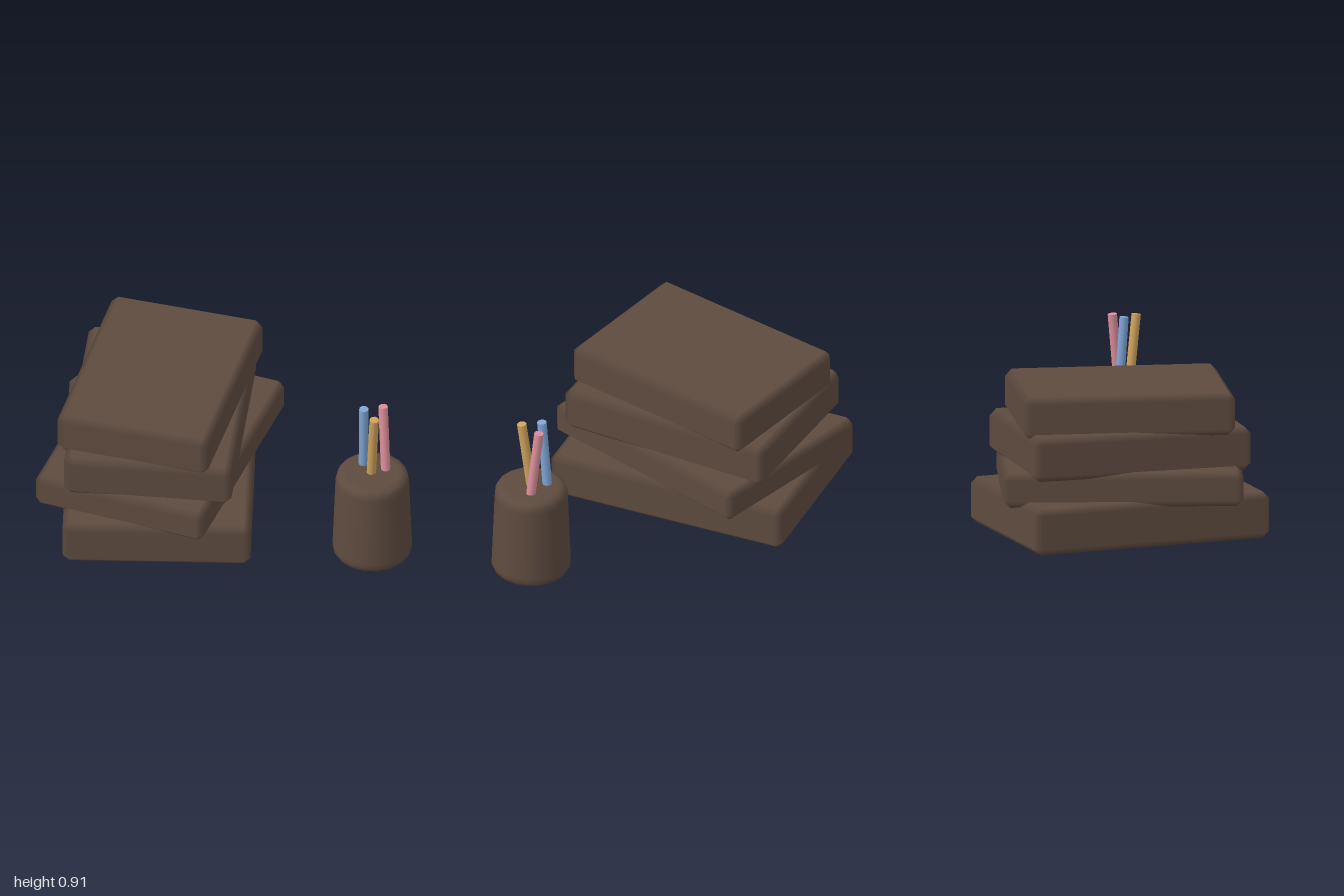
import * as THREE from 'three';
import { ConvexGeometry } from 'three/addons/geometries/ConvexGeometry.js';

// Box with single-step chamfers; each vertex keeps its face's normal so edges shade softly
function chamferBox(w, h, d, c) {
  const half = [w / 2, h / 2, d / 2];
  const points = [];
  for (let axis = 0; axis < 3; axis++)
    for (const sx of [-1, 1]) for (const sy of [-1, 1]) for (const sz of [-1, 1]) {
      const p = [sx, sy, sz].map((s, i) => s * (half[i] - (i === axis ? 0 : c)));
      points.push(new THREE.Vector3(...p));
    }
  const geo = new ConvexGeometry(points);
  const pos = geo.attributes.position, nor = geo.attributes.normal;
  for (let i = 0; i < pos.count; i++) {
    const p = [pos.getX(i), pos.getY(i), pos.getZ(i)];
    const n = p.map((v, a) => (Math.abs(v) > half[a] - c / 2 ? Math.sign(v) : 0));
    nor.setXYZ(i, ...n);
  }
  return geo;
}

export function createModel() {
  const model = new THREE.Group();
  const mat = (name, color) => {
    const m = new THREE.MeshStandardMaterial({ color });
    m.name = name;
    return m;
  };
  const brown = mat('dark brown', 0x5e4b3f);
  const blue = mat('blue', 0x80a6d6);
  const tan = mat('tan', 0xcfa35c);
  const pink = mat('pink', 0xdc8f9b);

  const add = (parent, geo, material, name) => {
    const mesh = new THREE.Mesh(geo, material);
    mesh.name = name;
    parent.add(mesh);
    return mesh;
  };

  // Stack of books, bottom to top: width, length, bottom, top, turn in degrees
  const stack = new THREE.Group();
  stack.name = 'bookStack';
  stack.position.x = -0.404;
  model.add(stack);
  [
    [0.985, 1.322, 0.005, 0.253, 10],
    [0.942, 1.261, 0.22, 0.405, -9],
    [0.883, 1.185, 0.376, 0.61, 5],
    [0.82, 1.117, 0.578, 0.807, -4],
  ].forEach(([w, l, y0, y1, turn], i) => {
    const book = add(stack, chamferBox(w, y1 - y0, l, 0.036), brown, `book${i + 1}`);
    book.position.y = (y0 + y1) / 2;
    book.rotation.y = THREE.MathUtils.degToRad(turn);
  });

  // Solid tapered cup with rounded rims
  const profile = [
    [0, 0], [0.155, 0], [0.172, 0], [0.198, 0.011], [0.209, 0.036], [0.208, 0.06],
    [0.193, 0.46], [0.191, 0.484], [0.181, 0.509], [0.157, 0.52], [0.14, 0.52], [0, 0.52],
  ].map(([r, y]) => new THREE.Vector2(r, y));
  const cup = add(model, new THREE.LatheGeometry(profile, 18), brown, 'pencilCup');
  cup.position.set(0.79, 0, 0.283);

  // Pencils leaning out of the cup: point at the cup top, point at the tip
  const pencil = (name, material, base, tip) => {
    const a = new THREE.Vector3(...base), b = new THREE.Vector3(...tip);
    const dir = b.clone().sub(a).normalize();
    a.addScaledVector(dir, -0.12); // sunk into the cup
    const mesh = add(model, new THREE.CylinderGeometry(0.025, 0.025, a.distanceTo(b), 10), material, name);
    mesh.position.copy(a).add(b).multiplyScalar(0.5);
    mesh.quaternion.setFromUnitVectors(new THREE.Vector3(0, 1, 0), dir);
  };
  pencil('bluePencil', blue, [0.73, 0.52, 0.222], [0.738, 0.903, 0.25]);
  pencil('tanPencil', tan, [0.786, 0.52, 0.286], [0.81, 0.902, 0.329]);
  pencil('pinkPencil', pink, [0.853, 0.52, 0.242], [0.832, 0.902, 0.206]);

  return model;
}
